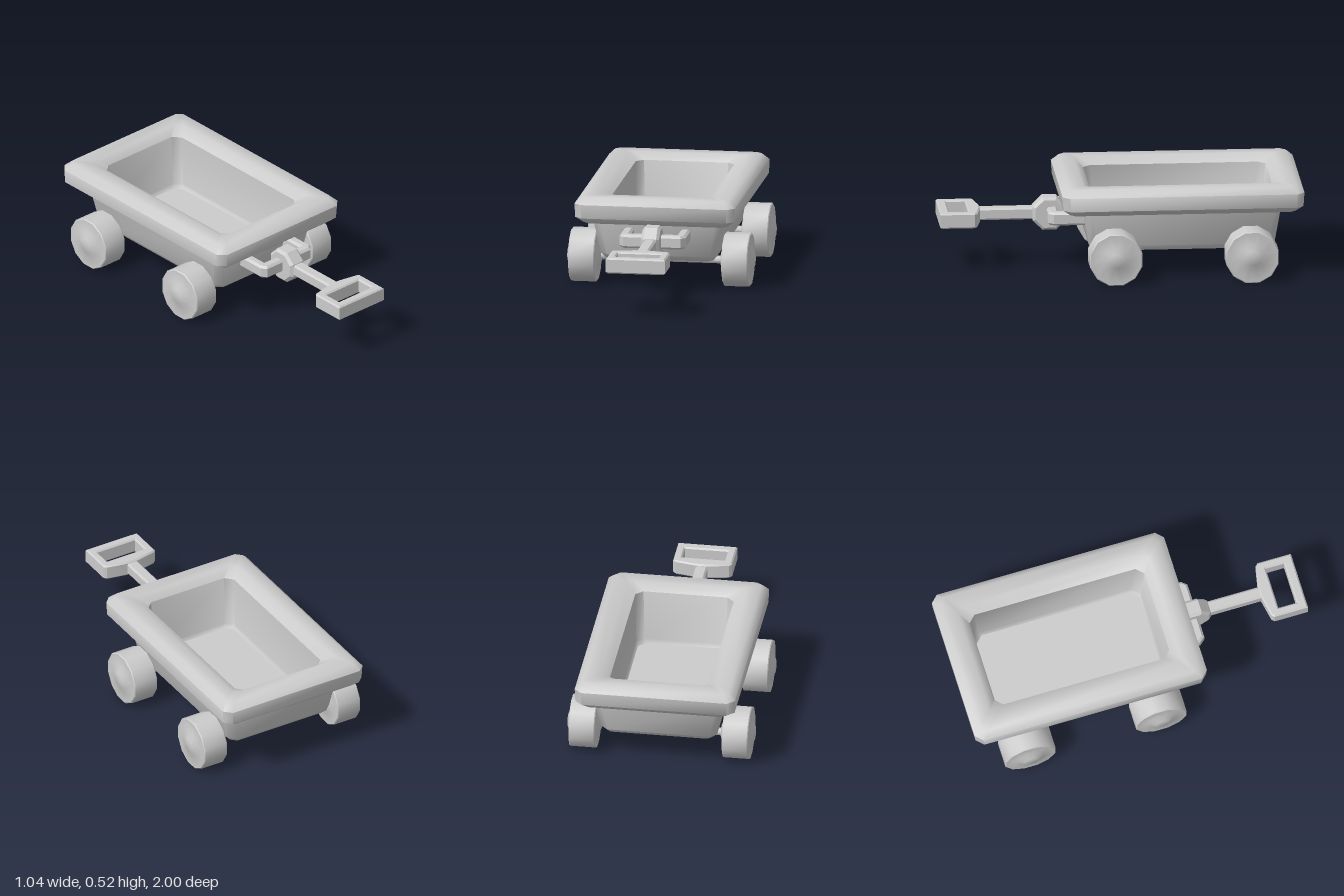
import * as THREE from 'three';
import { toCreasedNormals } from 'three/addons/utils/BufferGeometryUtils.js';

const grey = new THREE.MeshStandardMaterial({ color: 0xcccccc });
grey.name = 'light grey';

// Rectangle with cut corners, as eight [x, z] points
function cutRect(hx, hz, c) {
  return [[hx, -hz + c], [hx, hz - c], [hx - c, hz], [-hx + c, hz],
    [-hx, hz - c], [-hx, -hz + c], [-hx + c, -hz], [hx - c, -hz]];
}

// Skin through cut rectangles: rows of [halfX, halfZ, y, cornerCut]; both ends close to a point
function loft(rows) {
  const pos = [], idx = [];
  rows.forEach(([hx, hz, y, c]) => cutRect(hx, hz, c).forEach(([x, z]) => pos.push(x, y, z)));
  for (let i = 0; i < rows.length - 1; i++) {
    for (let j = 0; j < 8; j++) {
      const a = i * 8 + j, b = i * 8 + (j + 1) % 8, c = a + 8, d = b + 8;
      if (i > 0) idx.push(a, c, b);
      if (i < rows.length - 2) idx.push(b, c, d);
      if (i === 0 || i === rows.length - 2) continue;
    }
  }
  // Closing fans: the first keeps its (b, c, d) half, the last its (a, c, b) half
  const g = new THREE.BufferGeometry();
  g.setAttribute('position', new THREE.Float32BufferAttribute(pos, 3));
  g.setIndex(idx);
  return g;
}

// Flat outline in x and z, given thickness in y and bevelled edges
function slab(points, yLow, yHigh, bevel, hole) {
  const v = (p) => p.map(([x, z]) => new THREE.Vector2(x, -z));
  const shape = new THREE.Shape(v(points));
  if (hole) shape.holes.push(new THREE.Path(v(hole)));
  const g = new THREE.ExtrudeGeometry(shape, {
    depth: yHigh - yLow - 2 * bevel, bevelEnabled: true, bevelSize: bevel,
    bevelThickness: bevel, bevelOffset: -bevel, bevelSegments: 1,
  });
  return g.rotateX(-Math.PI / 2).translate(0, yLow + bevel, 0);
}

export function createModel() {
  const group = new THREE.Group();
  const add = (name, geo, x = 0, y = 0, z = 0, crease = 0.7) => {
    const mesh = new THREE.Mesh(toCreasedNormals(geo, crease), grey);
    mesh.name = name;
    mesh.position.set(x, y, z);
    group.add(mesh);
  };

  // Tub with thick rolled rim, hollow inside
  add('tub', loft([
    [0, 0, 0.15, 0],
    [0.3, 0.485, 0.15, 0.03],
    [0.325, 0.515, 0.18, 0.04],
    [0.363, 0.545, 0.375, 0.04],
    [0.4, 0.625, 0.375, 0.03],
    [0.445, 0.665, 0.41, 0.04],
    [0.448, 0.67, 0.487, 0.04],
    [0.41, 0.63, 0.525, 0.03],
    [0.33, 0.55, 0.525, 0.03],
    [0.275, 0.505, 0.487, 0.04],
    [0.265, 0.48, 0.2, 0.04],
    [0.255, 0.47, 0.18, 0.04],
    [0, 0, 0.18, 0],
  ]), 0, 0, -0.33, 0.85);

  // Wheels with domed hubs on both faces, and their axles
  const wheelProfile = [[0, -0.093], [0.04, -0.093], [0.075, -0.073], [0.145, -0.073],
    [0.15, -0.068], [0.15, 0.068], [0.145, 0.073], [0.075, 0.073], [0.04, 0.093], [0, 0.093]]
    .map(([r, y]) => new THREE.Vector2(r, y));
  for (const [end, z] of [['front', 0.05], ['rear', -0.705]]) {
    for (const [side, s] of [['Left', 1], ['Right', -1]]) {
      const wheel = new THREE.LatheGeometry(wheelProfile, 12, Math.PI / 12).rotateZ(-Math.PI / 2);
      add(end + side + 'Wheel', wheel, s * 0.428, 0.145, z);
    }
    add(end + 'Axle', new THREE.CylinderGeometry(0.022, 0.022, 0.7, 8).rotateZ(Math.PI / 2), 0, 0.14, z, 0.9);
  }

  // U-shaped yoke reaching forward from the tub
  add('yoke', slab([[-0.185, 0.18], [-0.13, 0.18], [-0.13, 0.34], [0.13, 0.34], [0.13, 0.18],
    [0.185, 0.18], [0.185, 0.37], [0.16, 0.4], [-0.16, 0.4], [-0.185, 0.37]], 0.265, 0.34, 0.012), 0, 0, 0, 0.5);

  // Eight-sided pivot block
  const oct = new THREE.Shape(cutRect(0.0925, 0.0925, 0.054).map(([x, y]) => new THREE.Vector2(x, y)));
  const pivot = new THREE.ExtrudeGeometry(oct, {
    depth: 0.07, bevelEnabled: true, bevelSize: 0.015, bevelThickness: 0.015, bevelOffset: -0.015, bevelSegments: 1,
  }).translate(0, 0, -0.035).rotateY(-Math.PI / 2);
  add('pivot', pivot, 0, 0.298, 0.383, 0.5);

  // Pull bar and grip
  add('pullBar', slab([[-0.034, 0.42], [0.034, 0.42], [0.034, 0.8], [-0.034, 0.8]], 0.265, 0.333, 0.01), 0, 0, 0, 0.5);
  add('grip', slab(
    [[-0.165, 0.998], [0.165, 0.998], [0.165, 0.805], [0.15, 0.79], [0.034, 0.767],
      [-0.034, 0.767], [-0.15, 0.79], [-0.165, 0.805]], 0.255, 0.342, 0.008,
    [[-0.12, 0.945], [-0.12, 0.84], [0.12, 0.84], [0.12, 0.945]]), 0, 0, 0, 0.5);

  return group;
}
